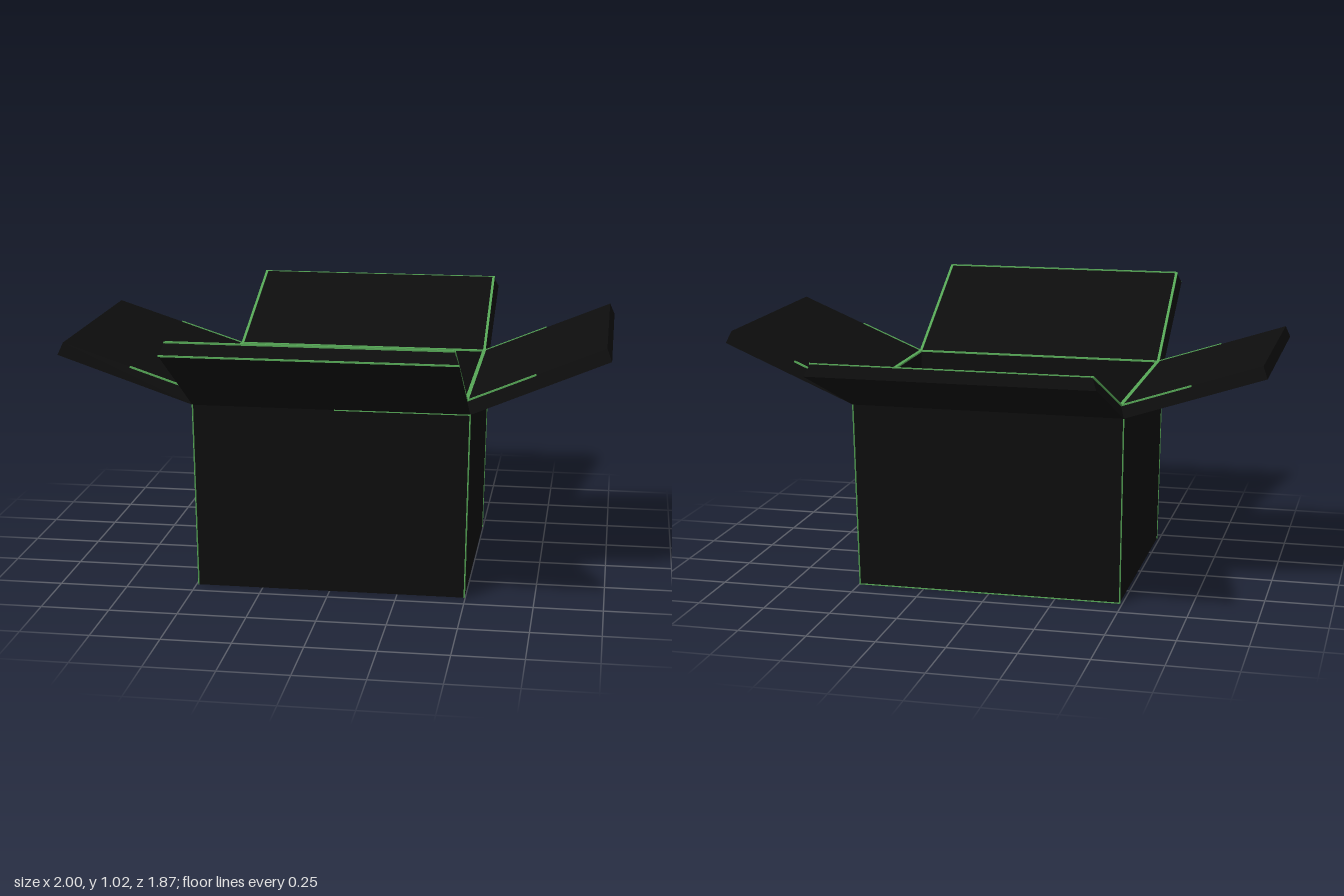
import * as THREE from 'three';

const V = (x, y, z) => new THREE.Vector3(x, y, z);

// Four corners at one height, running front left, front right, back right, back left as seen from the front
const ring = (x0, x1, z0, z1, y) => [V(x0, y, z1), V(x1, y, z1), V(x1, y, z0), V(x0, y, z0)];

// Thick panel between an outer and an inner quad, closed along the chosen edges
function panelGeometry(outer, inner, rims) {
  const pos = [];
  const quad = (a, b, c, d) => [a, b, c, a, c, d].forEach(p => pos.push(p.x, p.y, p.z));
  quad(...outer);
  quad(inner[3], inner[2], inner[1], inner[0]);
  for (const j of rims) {
    const k = (j + 1) % 4;
    quad(outer[j], inner[j], inner[k], outer[k]);
  }
  const g = new THREE.BufferGeometry();
  g.setAttribute('position', new THREE.Float32BufferAttribute(pos, 3));
  g.computeVertexNormals();
  return g;
}

export function createModel() {
  const model = new THREE.Group();
  model.name = 'openBox';

  const card = new THREE.MeshStandardMaterial({ color: 0x0d0d0d });
  card.name = 'blackCard';
  const trim = new THREE.MeshStandardMaterial({ color: 0x55a555 });
  trim.name = 'greenEdge';

  const addPanel = (name, outer, inner, rims = []) => {
    const mesh = new THREE.Mesh(panelGeometry(outer, inner, rims), card);
    mesh.name = name;
    model.add(mesh);
  };

  // Slim coloured strip along an edge
  const addStrip = (name, a, b, width = 0.005) => {
    const g = new THREE.BoxGeometry(width, Math.min(width, 0.006), a.distanceTo(b));
    const mesh = new THREE.Mesh(g, trim);
    mesh.name = name;
    mesh.position.copy(a).lerp(b, 0.5);
    mesh.lookAt(b);
    model.add(mesh);
  };

  // Slightly flared body: outer and inner corners
  const base = ring(-0.49, 0.497, -0.405, 0.44, 0);
  const rim = ring(-0.498, 0.508, -0.417, 0.45, 0.69);
  const floor = ring(-0.46, 0.467, -0.377, 0.41, 0.03);
  const lip = ring(-0.485, 0.492, -0.402, 0.425, 0.735);

  addPanel('floor', [...base].reverse(), [...floor].reverse());

  // Free ends of the flaps, each in ring order
  const sides = [
    { name: 'front',
      out: [V(-0.498, 0.978, 0.933), V(0.508, 0.978, 0.933)],
      inn: [V(-0.48, 1.02, 0.905), V(0.488, 1.02, 0.905)] },
    { name: 'left',
      out: [V(0.998, 0.897, 0.445), V(0.998, 0.897, -0.412)],
      inn: [V(0.98, 0.94, 0.423), V(0.98, 0.94, -0.397)] },
    { name: 'back',
      out: [V(0.508, 0.898, -0.936), V(-0.498, 0.898, -0.936)],
      inn: [V(0.488, 0.94, -0.917), V(-0.48, 0.94, -0.917)] },
    { name: 'right',
      out: [V(-1, 0.855, -0.41), V(-1, 0.855, 0.436)],
      inn: [V(-0.983, 0.898, -0.395), V(-0.983, 0.898, 0.42)] },
  ];

  sides.forEach(({ name, out, inn }, s) => {
    const n = (s + 1) % 4;
    addPanel(name + 'Wall', [base[s], base[n], rim[n], rim[s]], [floor[s], floor[n], lip[n], lip[s]]);
    addPanel(name + 'Flap', [rim[s], rim[n], out[1], out[0]], [lip[s], lip[n], inn[1], inn[0]], [1, 2, 3]);

    // Fold line and worn edges
    addStrip(name + 'FoldLine', lip[s], lip[n], 0.014);
    addStrip(name + 'CornerEdge', base[s], rim[s], 0.004);
    if (name === 'front' || name === 'back') {
      addStrip(name + 'FlapSideEdge', lip[s], inn[0], 0.01);
      addStrip(name + 'FlapSideEdge', lip[n], inn[1], 0.01);
    } else {
      // Only the part nearest the fold is worn on the side flaps
      addStrip(name + 'FlapSideEdge', lip[s], lip[s].clone().lerp(inn[0], 0.5), 0.007);
      addStrip(name + 'FlapSideEdge', lip[n], lip[n].clone().lerp(inn[1], 0.5), 0.007);
    }
  });

  // Worn ends of the front and back flaps
  addStrip('frontFlapInnerEnd', ...sides[0].inn, 0.008);
  addStrip('frontFlapOuterEnd', ...sides[0].out, 0.006);
  addStrip('backFlapInnerEnd', ...sides[2].inn, 0.004);

  // Worn half of the front fold, and the back base edge
  addStrip('frontOuterFold', V(0.02, 0.69, 0.45), rim[1], 0.005);
  addStrip('backBaseEdge', base[2], base[3], 0.004);

  return model;
}
